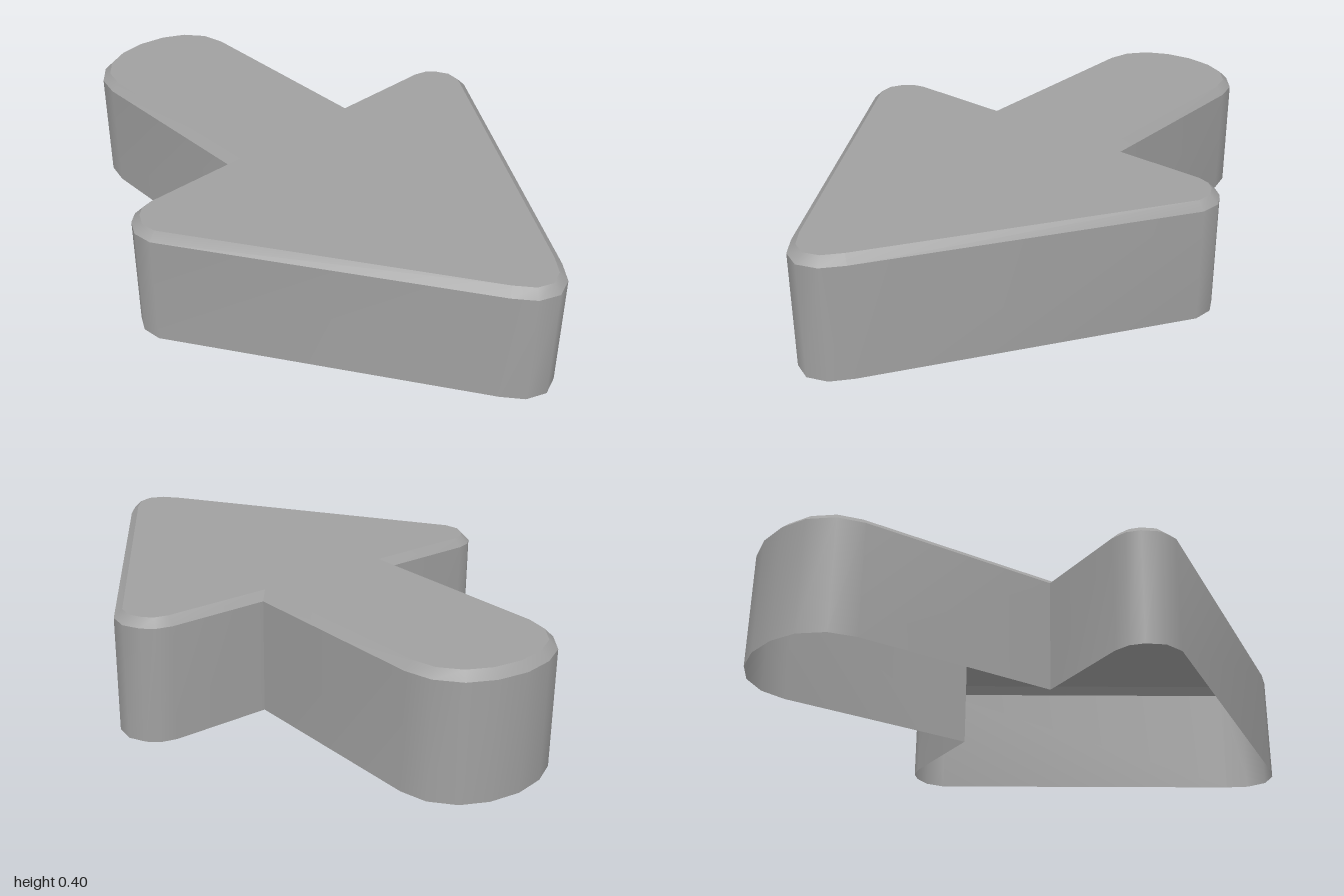
import * as THREE from 'three';
import { toCreasedNormals } from 'three/addons/utils/BufferGeometryUtils.js';

const HEIGHT = 0.4, BEVEL = 0.026;

// Right half of the arrow outline as [x, z], from the tip to the tail
const HALF = [
  [0, 1], [0.065, 0.975], [0.115, 0.915],
  [0.695, 0.025], [0.703, -0.04], [0.675, -0.095], [0.64, -0.125], [0.59, -0.138],
  [0.26, -0.138], [0.26, -0.79], [0.24, -0.875], [0.182, -0.945], [0.1, -0.985], [0, -1],
];

// Full outline in shape coordinates (y = -z), counter-clockwise
function arrowOutline() {
  const right = HALF.map(([x, z]) => new THREE.Vector2(x, -z));
  const left = right.slice(1, -1).reverse().map(p => new THREE.Vector2(-p.x, p.y));
  return [...right, ...left];
}

// Move every edge inward by d, with mitred corners
function inset(points, d) {
  const count = points.length;
  const normal = (a, b) => new THREE.Vector2(a.y - b.y, b.x - a.x).normalize();
  return points.map((p, i) => {
    const n1 = normal(points[(i + count - 1) % count], p);
    const n2 = normal(p, points[(i + 1) % count]);
    const scale = d / (1 + n1.dot(n2));
    return p.clone().addScaledVector(n1.add(n2), scale);
  });
}

// Band of quads between two closed rings
function band(lower, y0, upper, y1) {
  const positions = [];
  lower.forEach((a, i) => {
    const j = (i + 1) % lower.length;
    const b = lower[j], c = upper[j], d = upper[i];
    positions.push(a.x, y0, -a.y, b.x, y0, -b.y, c.x, y1, -c.y);
    positions.push(a.x, y0, -a.y, c.x, y1, -c.y, d.x, y1, -d.y);
  });
  const geometry = new THREE.BufferGeometry();
  geometry.setAttribute('position', new THREE.Float32BufferAttribute(positions, 3));
  return toCreasedNormals(geometry, 0.75);
}

export function createModel() {
  const group = new THREE.Group();
  group.name = 'arrow';
  const gray = new THREE.MeshStandardMaterial({ color: 0xa0a0a0, side: THREE.DoubleSide });
  gray.name = 'gray';

  const add = (name, geometry) => {
    const mesh = new THREE.Mesh(geometry, gray);
    mesh.name = name;
    group.add(mesh);
  };

  const outer = arrowOutline();
  const inner = inset(outer, BEVEL);

  // Hollow shell, open underneath
  add('sideWall', band(outer, 0, outer, HEIGHT - BEVEL));
  add('bevel', band(outer, HEIGHT - BEVEL, inner, HEIGHT));
  add('topFace', new THREE.ShapeGeometry(new THREE.Shape(inner))
    .rotateX(-Math.PI / 2).translate(0, HEIGHT, 0));

  return group;
}
